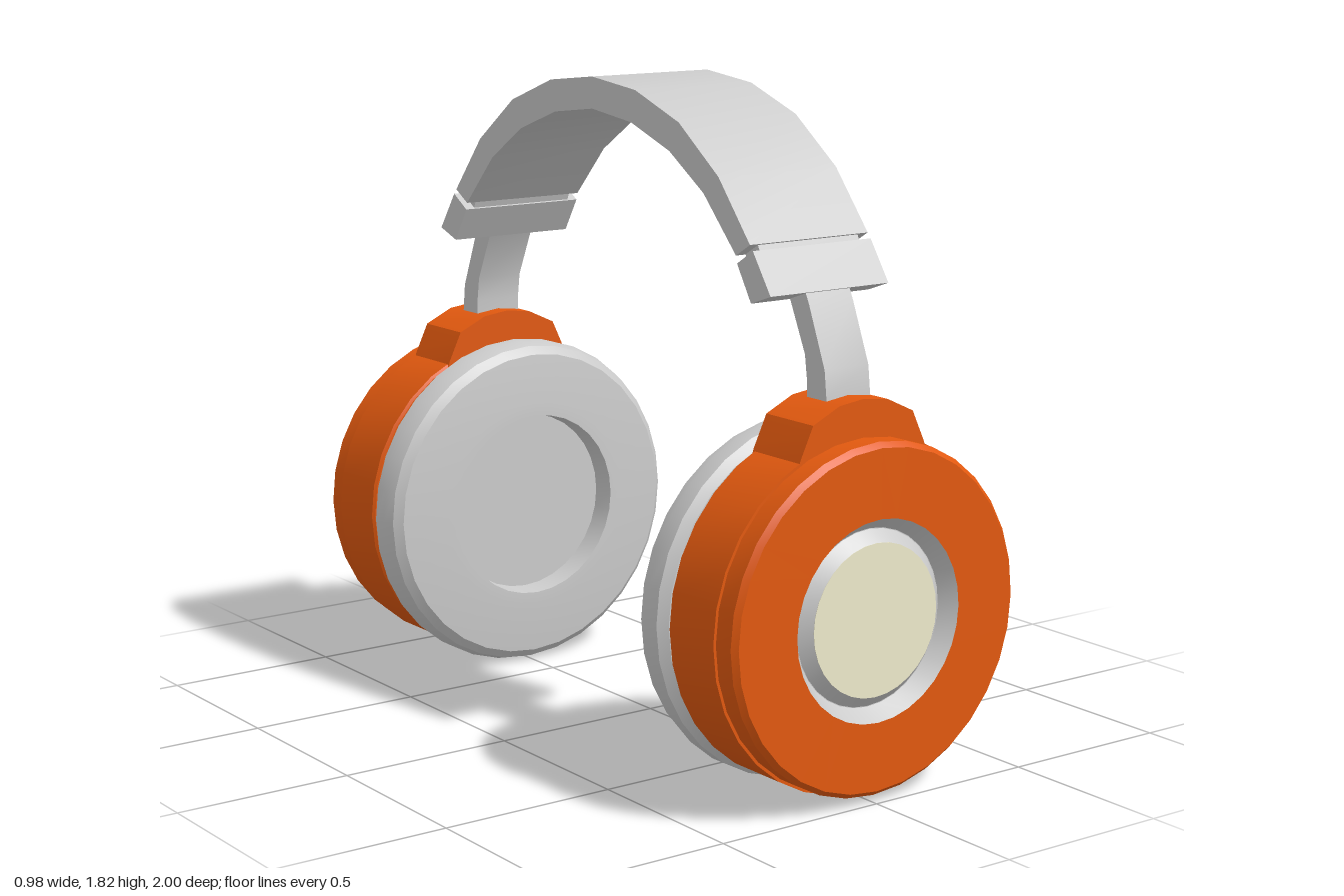
import * as THREE from 'three';
import { toCreasedNormals } from 'three/addons/utils/BufferGeometryUtils.js';

const grey = new THREE.MeshStandardMaterial({ color: 0xcccccc });
const orange = new THREE.MeshStandardMaterial({ color: 0xe2590f });
const cream = new THREE.MeshStandardMaterial({ color: 0xeeeacb });

const CUP_Y = 0.49;
const vecs = (pts) => pts.map(([a, b]) => new THREE.Vector2(a, b));

function part(name, geometry, material) {
  const mesh = new THREE.Mesh(toCreasedNormals(geometry, 0.5), material);
  mesh.name = name;
  return mesh;
}

// Revolves [radius, z] points about the axis of the ear cup
function turned(name, profile, material) {
  const g = new THREE.LatheGeometry(vecs(profile), 32);
  g.rotateX(Math.PI / 2).translate(0, CUP_Y, 0);
  return part(name, g, material);
}

// Extrudes a [z, y] outline across the width in x
function strip(name, outline, width, material) {
  const g = new THREE.ExtrudeGeometry(new THREE.Shape(vecs(outline)), { depth: width, bevelEnabled: false });
  g.translate(0, 0, -width / 2).rotateY(-Math.PI / 2);
  return part(name, g, material);
}

// One ear cup with its arm, on the +z end
function createSide() {
  const side = new THREE.Group();

  // Cup body, with a slightly wider inner half and a conical recess outside
  side.add(turned('cupShell', [
    [0, 0.735], [0.47, 0.735], [0.477, 0.742], [0.477, 0.925], [0.469, 0.925],
    [0.469, 0.985], [0.455, 1], [0.27, 1], [0.265, 0.95], [0, 0.95],
  ], orange));

  // Metal ring lining the recess
  side.add(turned('recessRing', [
    [0.205, 0.94], [0.27, 0.94], [0.27, 1], [0.238, 0.955], [0.205, 0.955],
  ], grey));

  // Raised round cap in the middle
  side.add(turned('capRim', [[0.236, 0.945], [0.236, 0.955], [0.205, 0.985], [0.2, 0.985]], grey));
  side.add(turned('cap', [[0.205, 0.95], [0.205, 0.986], [0, 0.986]], cream));

  // Ear cushion with a shallow round hollow
  side.add(turned('earCushion', [
    [0, 0.65], [0.265, 0.65], [0.272, 0.583], [0.31, 0.583], [0.455, 0.598],
    [0.478, 0.62], [0.489, 0.655], [0.488, 0.7], [0.465, 0.722], [0.43, 0.722],
    [0.43, 0.74], [0, 0.74],
  ], grey));

  // Rounded mount on top of the cup
  const mount = new THREE.Shape(vecs([
    [-0.23, 0.85], [0.23, 0.85], [0.205, 0.925], [0.165, 1.01], [0.08, 1.05],
    [0, 1.06], [-0.08, 1.05], [-0.165, 1.01], [-0.205, 0.925],
  ]));
  const mountGeometry = new THREE.ExtrudeGeometry(mount, { depth: 0.19, bevelEnabled: false });
  side.add(part('armMount', mountGeometry.translate(0, 0, 0.735), orange));

  // Sliding arm
  side.add(strip('arm', [
    [0.785, 1.0], [0.867, 1.0], [0.863, 1.06], [0.855, 1.13], [0.79, 1.29],
    [0.76, 1.35], [0.69, 1.33], [0.715, 1.29], [0.775, 1.16], [0.785, 1.09],
  ], 0.145, grey));

  // Clamp block and the narrow neck joining it to the band
  side.add(strip('clamp', [[0.706, 1.294], [0.786, 1.322], [0.712, 1.43], [0.647, 1.39]], 0.39, grey));
  side.add(strip('clampNeck', [[0.66, 1.37], [0.715, 1.4], [0.69, 1.45], [0.64, 1.42]], 0.33, grey));
  return side;
}

export function createModel() {
  const model = new THREE.Group();
  model.name = 'headphones';

  // Arched headband: half profiles mirrored about z = 0
  const outer = [[0.7, 1.444], [0.567, 1.604], [0.395, 1.73], [0.2, 1.8]];
  const inner = [[0.642, 1.41], [0.503, 1.556], [0.353, 1.652], [0.18, 1.713]];
  const arch = (half, top) => [
    ...half, [0, top], ...half.map(([z, y]) => [-z, y]).reverse(),
  ];
  model.add(strip('headband', [...arch(outer, 1.822), ...arch(inner, 1.735).reverse()], 0.39, grey));

  // Two matching ends
  ['front', 'back'].forEach((name, i) => {
    const side = createSide();
    side.name = name + 'EarCup';
    side.rotation.y = i * Math.PI;
    model.add(side);
  });
  return model;
}
